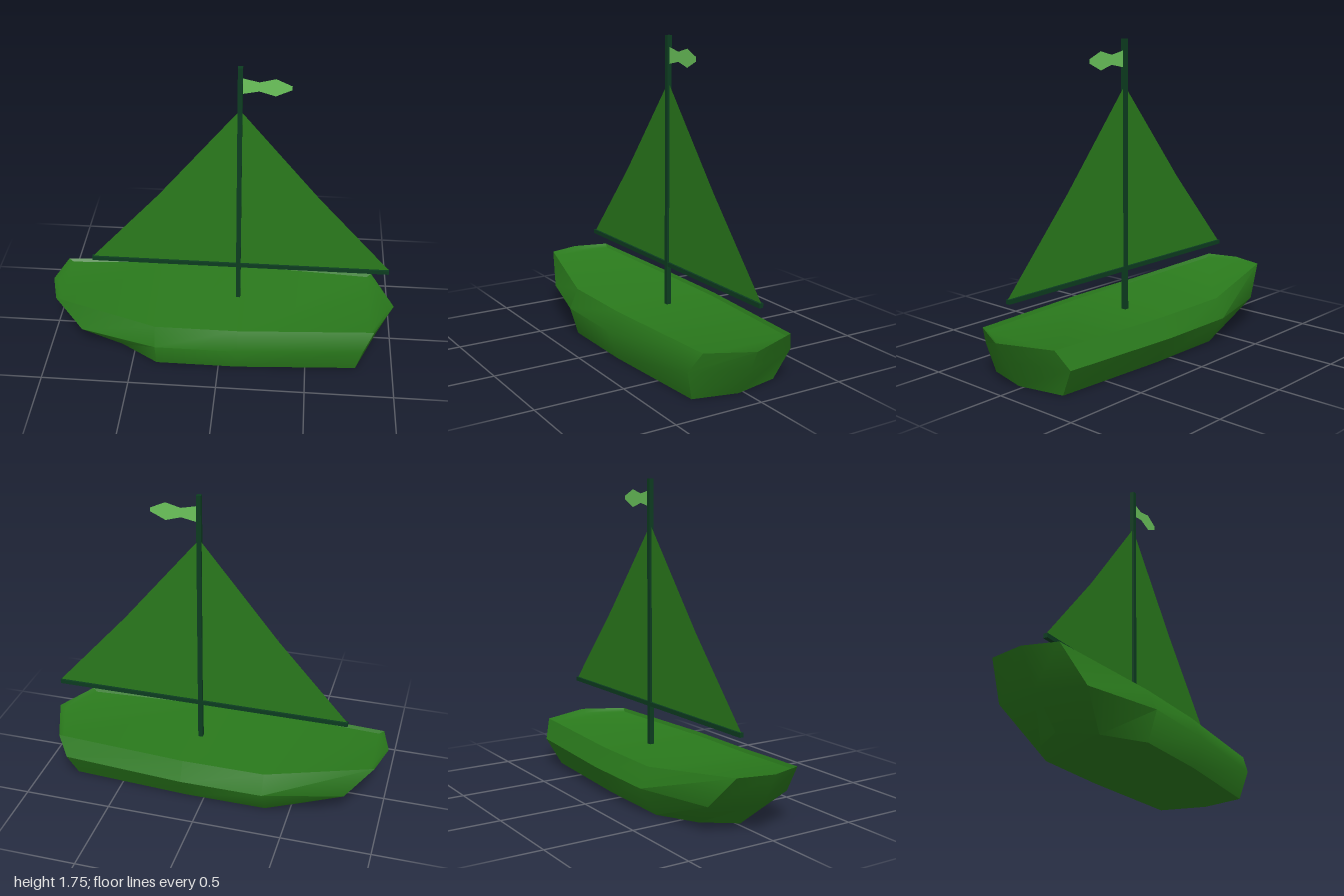
import * as THREE from 'three';
import { toCreasedNormals } from 'three/addons/utils/BufferGeometryUtils.js';

const HULL = new THREE.MeshStandardMaterial({ color: 0x2a7a1c });
const CLOTH = new THREE.MeshStandardMaterial({ color: 0x2a7a1c, side: THREE.DoubleSide });
const SPAR = new THREE.MeshStandardMaterial({ color: 0x0c3c20 });
const FLAG = new THREE.MeshStandardMaterial({ color: 0x6cc65c, side: THREE.DoubleSide });

const MAST_X = 0.09;
const MAST_Z = -0.02;
const N = 10; // points per hull ring

// Closed ring from bow centre along +z to stern centre, back along -z.
// Each half-ring point is [x, y, z]; far scales the -z side.
function ring(half, far = 1) {
  const back = half.slice(1, -1).reverse().map(([x, y, z]) => [x, y, -z * far]);
  return [...half, ...back];
}

function hullGeometry() {
  const bottom = ring([[-0.71, 0, 0.02], [-0.58, 0, 0.18], [-0.36, 0, 0.32],
    [0.11, 0, 0.32], [0.79, 0, 0.275], [0.85, 0, 0.03]], 0.85);
  const chine = ring([[-0.9, 0.16, 0.02], [-0.8, 0.16, 0.25], [-0.36, 0.16, 0.37],
    [0.11, 0.16, 0.37], [0.82, 0.16, 0.32], [0.95, 0.16, 0.03]]);
  const rim = ring([[-1, 0.335, 0.01], [-0.95, 0.335, 0.19], [-0.36, 0.27, 0.32],
    [0.11, 0.27, 0.32], [0.88, 0.27, 0.27], [1, 0.27, 0.03]]);
  // deck sits just inside and below the rim
  const deck = rim.map(([x, y, z]) => [x * 0.972, y - 0.02, z * 0.972]);

  const rings = [bottom, chine, rim, deck];
  const index = [];
  const tri = (a, b, c) => {
    if (a !== b && b !== c && c !== a) index.push(a, b, c);
  };
  // walls between rings
  for (let r = 0; r < rings.length - 1; r++) {
    for (let i = 0; i < N; i++) {
      const a = r * N + i, b = r * N + ((i + 1) % N);
      tri(a, b, b + N);
      tri(a, b + N, a + N);
    }
  }
  // bottom and deck, in strips across the boat
  for (let i = 0; i < N / 2; i++) {
    const [a, b, c, d] = [i, i + 1, N - i - 1, (N - i) % N];
    tri(c, b, a);
    tri(d, c, a);
    const o = 3 * N;
    tri(o + a, o + b, o + c);
    tri(o + a, o + c, o + d);
  }
  const geo = new THREE.BufferGeometry();
  geo.setAttribute('position', new THREE.Float32BufferAttribute(rings.flat(2), 3));
  geo.setIndex(index);
  return toCreasedNormals(geo, 0.8);
}

function flatPanel(points) {
  return new THREE.ShapeGeometry(new THREE.Shape(points.map(([x, y]) => new THREE.Vector2(x, y))));
}

export function createModel() {
  const model = new THREE.Group();
  const add = (name, geometry, material, x = 0, y = 0, z = 0) => {
    const mesh = new THREE.Mesh(geometry, material);
    mesh.name = name;
    mesh.position.set(x, y, z);
    model.add(mesh);
  };

  add('hull', hullGeometry(), HULL);

  // mast and boom
  add('mast', new THREE.BoxGeometry(0.026, 1.51, 0.026), SPAR, MAST_X, 0.995, MAST_Z);
  add('boom', new THREE.BoxGeometry(1.72, 0.024, 0.024), SPAR, 0.095, 0.484, MAST_Z);

  // sail
  add('sail', flatPanel([[-0.76, 0.495], [0.955, 0.495], [0.53, 0.97],
    [MAST_X, 1.5], [-0.36, 0.945]]), CLOTH, 0, 0, MAST_Z);

  // pennant with a waisted outline
  add('pennant', flatPanel([[0.09, 1.595], [0.19, 1.615], [0.275, 1.59], [0.36, 1.63],
    [0.36, 1.652], [0.275, 1.69], [0.19, 1.668], [0.09, 1.69]]), FLAG, 0, 0, MAST_Z);

  return model;
}
